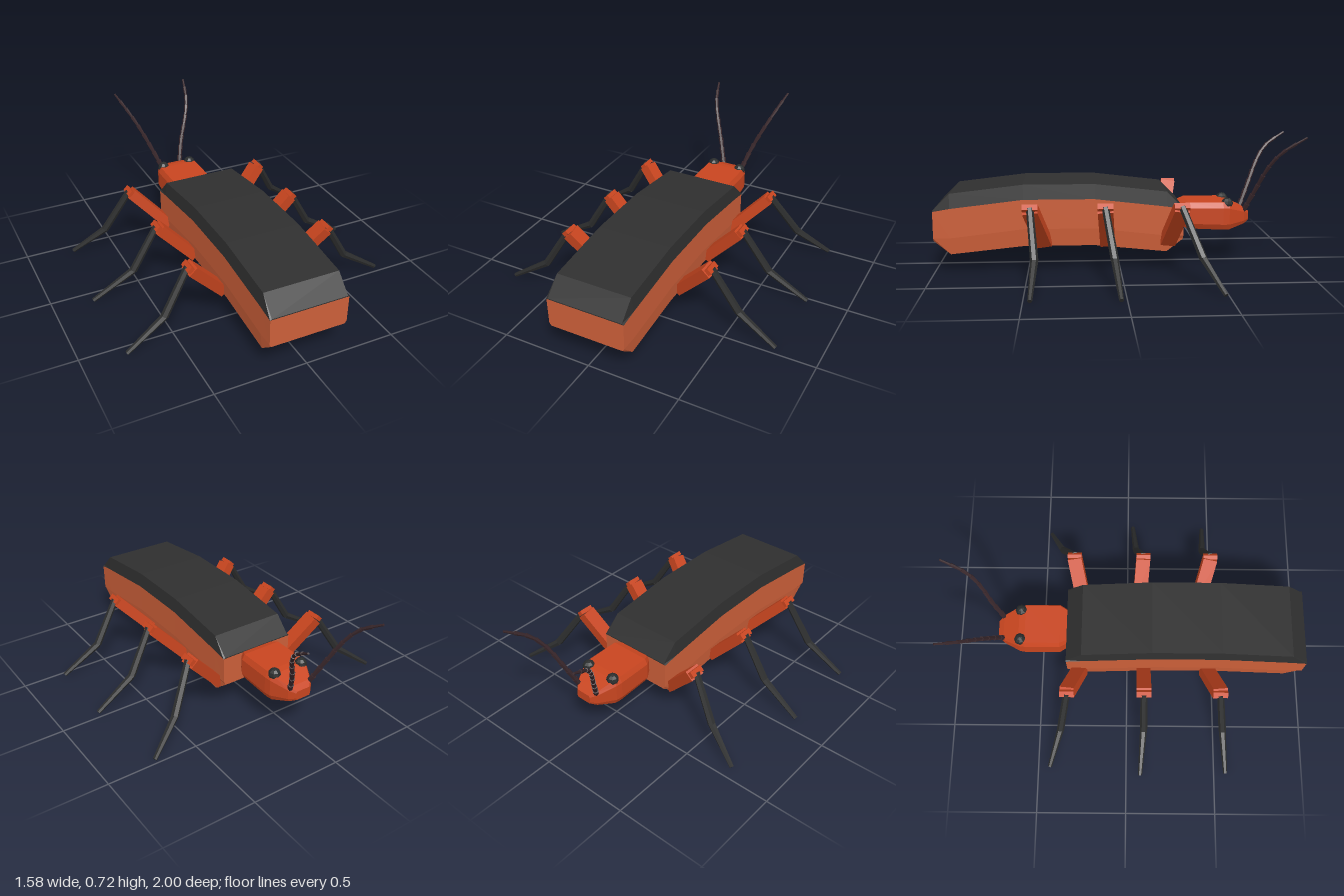
import * as THREE from 'three';

const mat = (name, color, flat = true) => {
  const m = new THREE.MeshStandardMaterial({ color, flatShading: flat });
  m.name = name;
  return m;
};

// Skin closed rings (counter-clockwise seen from +z), ordered from -z to +z
function loft(rings) {
  const n = rings[0].length, pos = rings.flat(2), idx = [];
  for (let i = 0; i < rings.length - 1; i++) {
    for (let j = 0; j < n; j++) {
      const k = (j + 1) % n, a = i * n + j, b = i * n + k;
      idx.push(a, b, b + n, a, b + n, a + n);
    }
  }
  const e = (rings.length - 1) * n;
  for (let j = 1; j < n - 1; j++) idx.push(0, j + 1, j, e, e + j, e + j + 1);
  const g = new THREE.BufferGeometry();
  g.setAttribute('position', new THREE.Float32BufferAttribute(pos, 3));
  g.setIndex(idx);
  const flat = g.toNonIndexed();
  flat.computeVertexNormals();
  return flat;
}

// Place a y-aligned geometry of unit length between two points
function strut(geometry, a, b, material, name) {
  const m = new THREE.Mesh(geometry, material);
  const y = b.clone().sub(a), len = y.length();
  y.normalize();
  const x = y.clone().cross(new THREE.Vector3(0, 0, 1)).normalize();
  const z = x.clone().cross(y);
  m.quaternion.setFromRotationMatrix(new THREE.Matrix4().makeBasis(x, y, z));
  m.position.copy(a).add(b).multiplyScalar(0.5);
  m.scale.y = len;
  m.name = name;
  return m;
}

export function createModel() {
  const bodyMat = mat('body orange', 0xcc5f39);
  const headMat = mat('head and leg orange', 0xc8451f);
  const shellMat = mat('shell black', 0x2f2f2f);
  const legMat = mat('lower leg black', 0x2c2d2d);
  const antMat = mat('antenna brown', 0x38262a);
  const eyeMat = mat('eye black', 0x292c2c);
  const root = new THREE.Group();
  root.name = 'beetle';
  const V = (x, y, z) => new THREE.Vector3(x, y, z);
  const add = (geometry, material, name) => {
    const m = new THREE.Mesh(geometry, material);
    m.name = name;
    root.add(m);
    return m;
  };

  // Body stations: z, belly, lower crease, shell edge, shell top
  const stations = [
    [-0.34, 0.17, 0.19, 0.335, 0.34],
    [-0.25, 0.10, 0.19, 0.35, 0.43],
    [0.14, 0.14, 0.235, 0.395, 0.475],
    [0.52, 0.14, 0.235, 0.395, 0.475],
    [0.91, 0.10, 0.19, 0.35, 0.43],
    [1.0, 0.175, 0.19, 0.335, 0.34],
  ];
  add(loft(stations.map(([z, b, c, s]) => [
    [-0.203, b, z], [0.203, b, z], [0.213, c, z], [0.215, s, z], [-0.215, s, z], [-0.213, c, z],
  ])), bodyMat, 'body');
  add(loft(stations.map(([z, , , s, t]) => [
    [-0.217, s, z], [0.217, s, z], [0.207, t, z], [-0.207, t, z],
  ])), shellMat, 'shell');

  // Head stations: z, half width, bottom, top
  const headStations = [
    [-0.73, 0.045, 0.235, 0.285],
    [-0.70, 0.075, 0.22, 0.305],
    [-0.61, 0.12, 0.195, 0.345],
    [-0.575, 0.126, 0.195, 0.35],
    [-0.38, 0.126, 0.205, 0.35],
    [-0.32, 0.09, 0.225, 0.33],
  ];
  add(loft(headStations.map(([z, w, b, t]) => {
    const c = (t - b) * 0.2, v = w * 0.88;
    return [[-v, b, z], [v, b, z], [w, b + c, z], [w, t - c, z],
      [v, t, z], [-v, t, z], [-w, t - c, z], [-w, b + c, z]];
  })), headMat, 'head');

  // Eyes and segmented antennae
  for (const s of [1, -1]) {
    const eye = add(new THREE.SphereGeometry(0.034, 8, 6), eyeMat, s > 0 ? 'leftEye' : 'rightEye');
    eye.position.set(s * 0.086, 0.338, -0.6);

    const antenna = new THREE.Group();
    antenna.name = s > 0 ? 'leftAntenna' : 'rightAntenna';
    const path = s > 0
      ? [V(0.055, 0.275, -0.69), V(0.10, 0.42, -0.755), V(0.155, 0.55, -0.81), V(0.19, 0.63, -0.87), V(0.225, 0.717, -0.998)]
      : [V(-0.055, 0.275, -0.69), V(-0.11, 0.42, -0.755), V(-0.165, 0.55, -0.815), V(-0.205, 0.63, -0.875), V(-0.243, 0.702, -0.99)];
    const pts = new THREE.CatmullRomCurve3(path).getSpacedPoints(9);
    for (let i = 0; i < 9; i++) {
      const r = 0.0165 - i * 0.0008;
      antenna.add(strut(new THREE.CylinderGeometry(i === 8 ? 0.006 : r, r * 0.72, 1, 6),
        pts[i], pts[i + 1], antMat, 'antennaSegment'));
    }
    root.add(antenna);
  }

  // Legs: side, then z at hip, knee, ankle, foot, then x at foot
  const legs = [
    ['leftFrontLeg', 1, -0.255, -0.305, -0.395, -0.48, 0.73],
    ['leftMiddleLeg', 1, 0.07, 0.09, 0.05, 0.03, 0.78],
    ['leftRearLeg', 1, 0.41, 0.475, 0.45, 0.465, 0.77],
    ['rightFrontLeg', -1, -0.265, -0.325, -0.37, -0.435, 0.74],
    ['rightMiddleLeg', -1, 0.095, 0.095, 0.097, 0.08, 0.785],
    ['rightRearLeg', -1, 0.455, 0.51, 0.54, 0.565, 0.77],
  ];
  for (const [name, s, hz, kz, az, fz, fx] of legs) {
    const leg = new THREE.Group();
    leg.name = name;
    const hip = V(s * 0.2, 0.155, hz), knee = V(s * 0.402, 0.378, kz);
    const tip = V(s * 0.418, 0.394, kz);
    const shin = V(s * 0.412, 0.385, kz), ankle = V(s * 0.555, 0.148, az), foot = V(s * fx, 0.009, fz);
    leg.add(strut(new THREE.BoxGeometry(0.058, 1, 0.08), hip, knee, headMat, 'thigh'));
    leg.add(strut(new THREE.BoxGeometry(0.034, 1, 0.08), knee, tip, headMat, 'kneeCap'));
    leg.add(strut(new THREE.CylinderGeometry(0.021, 0.019, 1, 6), shin, ankle, legMat, 'shin'));
    leg.add(strut(new THREE.CylinderGeometry(0.012, 0.02, 1, 6), ankle, foot, legMat, 'foot'));
    root.add(leg);
  }
  return root;
}
